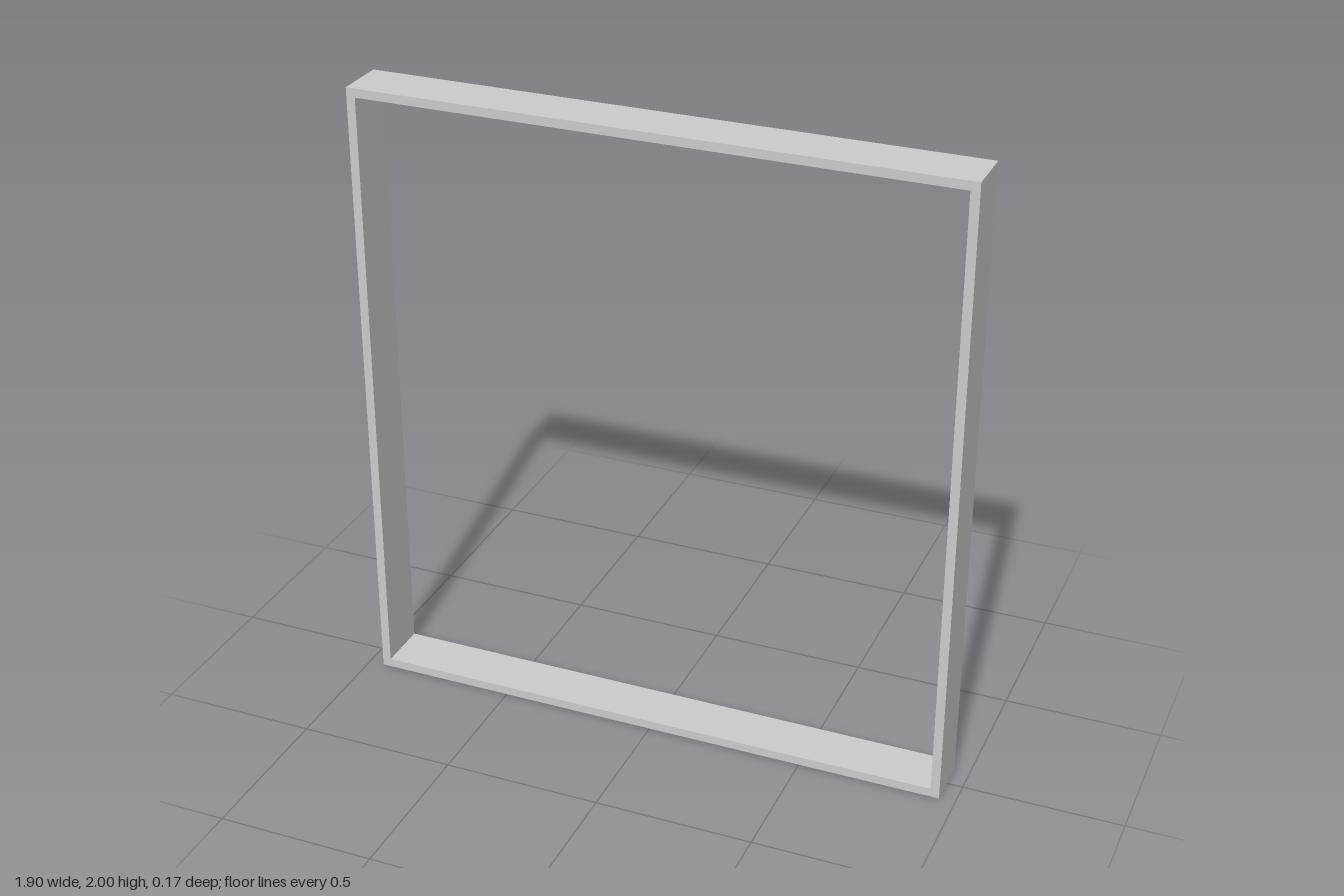
import * as THREE from 'three';

const WIDTH = 1.9, HEIGHT = 2, DEPTH = 0.166, WALL = 0.028;

// Traces a rectangle centred on x = 0 and y = HEIGHT / 2, pulled in by an inset
function rectangle(path, inset) {
  const x = WIDTH / 2 - inset, y0 = inset, y1 = HEIGHT - inset;
  path.moveTo(-x, y0);
  path.lineTo(x, y0);
  path.lineTo(x, y1);
  path.lineTo(-x, y1);
  path.closePath();
  return path;
}

export function createModel() {
  const group = new THREE.Group();
  group.name = 'openFrame';

  // Thin-walled rectangular surround, open front and back
  const outline = rectangle(new THREE.Shape(), 0);
  outline.holes.push(rectangle(new THREE.Path(), WALL));
  const geometry = new THREE.ExtrudeGeometry(outline, { depth: DEPTH, bevelEnabled: false });
  geometry.translate(0, 0, -DEPTH / 2);

  const frame = new THREE.Mesh(geometry, new THREE.MeshStandardMaterial({ color: 0xcccccc }));
  frame.name = 'frame';
  group.add(frame);
  return group;
}
